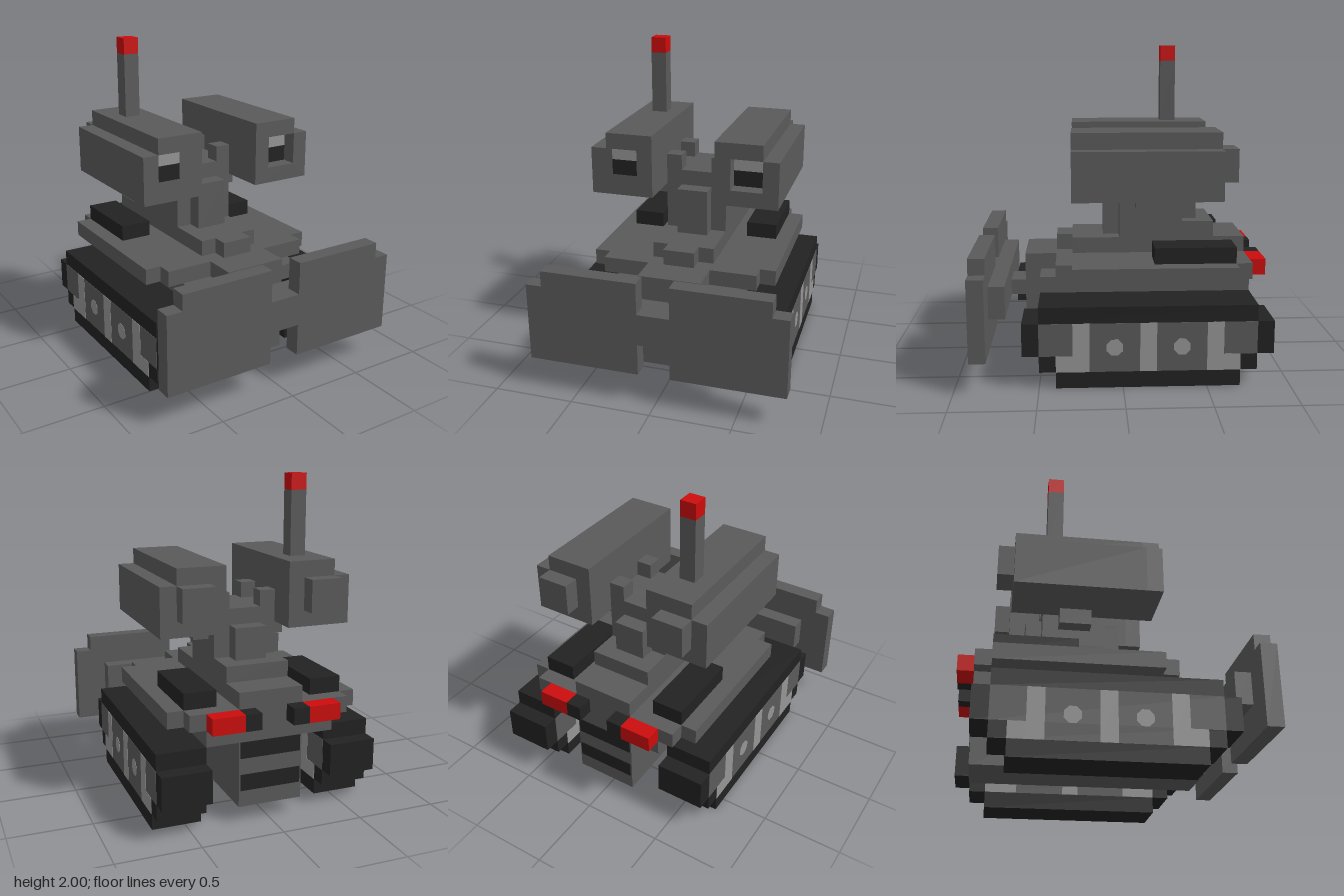
import * as THREE from 'three';

const mat = (name, color) => {
  const m = new THREE.MeshStandardMaterial({ color });
  m.name = name;
  return m;
};

export function createModel() {
  const model = new THREE.Group();
  model.name = 'tankRobot';
  const grey = mat('armourGrey', 0x5a5a5a);
  const light = mat('lightGrey', 0x959595);
  const dark = mat('rubberBlack', 0x222222);
  const red = mat('signalRed', 0xcc0c0c);

  // Box from min/max corners
  const box = (parent, name, m, x0, x1, y0, y1, z0, z1) => {
    const mesh = new THREE.Mesh(new THREE.BoxGeometry(x1 - x0, y1 - y0, z1 - z0), m);
    mesh.position.set((x0 + x1) / 2, (y0 + y1) / 2, (z0 + z1) / 2);
    mesh.name = name;
    parent.add(mesh);
    return mesh;
  };
  // Box centred on x
  const mid = (parent, name, m, w, y0, y1, z0, z1) => box(parent, name, m, -w, w, y0, y1, z0, z1);
  // Box mirrored to both sides
  const pair = (parent, name, m, x0, x1, ...r) => {
    box(parent, name + 'Left', m, x0, x1, ...r);
    box(parent, name + 'Right', m, -x1, -x0, ...r);
  };
  // Flat polygon extruded along z
  const plate = (parent, name, m, pts, z0, z1, hole) => {
    const s = new THREE.Shape(pts.map(p => new THREE.Vector2(...p)));
    if (hole) s.holes.push(new THREE.Path(hole.map(p => new THREE.Vector2(...p))));
    const g = new THREE.ExtrudeGeometry(s, { depth: z1 - z0, bevelEnabled: false });
    const mesh = new THREE.Mesh(g, m);
    mesh.position.z = z0;
    mesh.name = name;
    parent.add(mesh);
  };
  const group = name => {
    const g = new THREE.Group();
    g.name = name;
    model.add(g);
    return g;
  };

  // Tracks, stepped in profile and offset from each other along z
  for (const [name, x, cz] of [['leftTrack', 0.55, -0.15], ['rightTrack', -0.55, -0.05]]) {
    const t = group(name);
    t.position.set(x, 0, cz);
    for (const [y0, y1, h] of [[0, 0.1, 0.55], [0.1, 0.2, 0.65], [0.2, 0.4, 0.75], [0.4, 0.5, 0.65]])
      mid(t, 'tread', dark, 0.15, y0, y1, -h, h);
    for (const s of [-1, 1]) {
      const face = (n, m, d, ...r) => box(t, n, m, s * 0.15 - d, s * 0.15 + d, ...r);
      face('wheelPanel', grey, 0.002, 0.2, 0.4, -0.65, 0.65);
      face('wheelPanelLower', grey, 0.002, 0.1, 0.2, -0.55, 0.55);
      face('middleStrut', light, 0.004, 0.1, 0.4, -0.05, 0.05);
      for (const e of [-1, 1]) {
        face('endStrut', light, 0.004, 0.1, 0.4, e * 0.4 - 0.05, e * 0.4 + 0.05);
        face('strutFoot', light, 0.004, 0.1, 0.2, e * 0.5 - 0.05, e * 0.5 + 0.05);
        const hub = new THREE.Mesh(new THREE.CylinderGeometry(0.053, 0.053, 0.008, 8), light);
        hub.rotation.set(Math.PI / 8, 0, Math.PI / 2);
        hub.position.set(s * 0.15, 0.25, e * 0.2);
        hub.name = 'wheelHub';
        t.add(hub);
      }
    }
  }

  // Hull and stepped deck
  const hull = group('hull');
  mid(hull, 'keel', grey, 0.2, 0.1, 0.7, -0.8, 0.6);
  mid(hull, 'lowerDeck', grey, 0.4, 0.5, 0.6, -0.8, 0.5);
  mid(hull, 'upperDeck', grey, 0.5, 0.6, 0.7, -0.8, 0.4);
  mid(hull, 'deckSides', grey, 0.6, 0.6, 0.7, -0.7, 0.3);
  mid(hull, 'turretPlate', grey, 0.2, 0.7, 0.8, -0.8, 0.3);
  mid(hull, 'turretPlateNose', grey, 0.1, 0.7, 0.8, 0.3, 0.4);
  pair(hull, 'deckVent', dark, 0.3, 0.5, 0.7, 0.8, -0.7, -0.2);
  pair(hull, 'tailLight', red, 0.2, 0.4, 0.6, 0.7, -0.9, -0.8);
  pair(hull, 'tailLightMount', dark, 0.1, 0.2, 0.6, 0.7, -0.9, -0.8);
  for (const y of [0.2, 0.4]) mid(hull, 'rearGrille', dark, 0.19, y, y + 0.1, -0.804, -0.796);

  // Front blade with notches, bracket and arm
  const blade = group('blade');
  const half = [[0.1, 0.2], [0.8, 0.2], [0.8, 0.7], [0.7, 0.7], [0.7, 0.8], [0.1, 0.8], [0.1, 0.6]];
  plate(blade, 'bladePlate', grey, [[0.1, 0.4], ...half,
    ...half.slice().reverse().map(([x, y]) => [-x, y]), [-0.1, 0.4]], 0.8, 0.9);
  mid(blade, 'bladeBracket', grey, 0.6, 0.4, 0.6, 0.7, 0.8);
  mid(blade, 'bladeArm', grey, 0.1, 0.4, 0.5, 0.6, 0.7);

  // Turret column with cross bars and posts
  const turret = group('turret');
  mid(turret, 'turretBase', grey, 0.2, 0.8, 0.9, -0.6, 0);
  mid(turret, 'column', grey, 0.1, 0.8, 1.1, -0.5, 0.1);
  mid(turret, 'columnSides', grey, 0.2, 0.9, 1.1, -0.4, 0);
  mid(turret, 'podArm', grey, 0.3, 1.0, 1.1, -0.3, -0.1);
  mid(turret, 'podAxle', grey, 0.2, 1.1, 1.2, -0.3, -0.1);
  for (const z of [-0.4, -0.1]) {
    mid(turret, 'crossBar', grey, 0.2, 1.1, 1.2, z, z + 0.1);
    pair(turret, 'post', grey, 0.1, 0.2, 1.2, 1.3, z, z + 0.1);
  }

  // Launcher pods with recessed muzzles
  for (const s of [1, -1]) {
    const pod = group(s > 0 ? 'leftPod' : 'rightPod');
    const flip = pts => pts.map(([x, y]) => [s * x, y]);
    const outline = flip([[0.2, 1.1], [0.6, 1.1], [0.6, 1.4], [0.5, 1.4], [0.5, 1.5], [0.2, 1.5]]);
    const hole = flip([[0.3, 1.2], [0.5, 1.2], [0.5, 1.4], [0.3, 1.4]]);
    plate(pod, 'podBody', grey, outline, -0.6, 0.2);
    plate(pod, 'podRim', grey, outline, 0.2, 0.3, hole);
    const c = s * 0.4;
    box(pod, 'muzzleLight', light, c - 0.1, c + 0.1, 1.3, 1.4, 0.196, 0.204);
    box(pod, 'muzzleDark', dark, c - 0.1, c + 0.1, 1.2, 1.3, 0.196, 0.204);
    box(pod, 'podRearCap', grey, c - 0.1, c + 0.1, 1.2, 1.4, -0.7, -0.6);
  }

  // Antenna
  const antenna = group('antenna');
  box(antenna, 'mast', grey, -0.4, -0.3, 1.5, 1.9, -0.4, -0.3);
  box(antenna, 'tip', red, -0.4, -0.3, 1.9, 2, -0.4, -0.3);

  return model;
}
